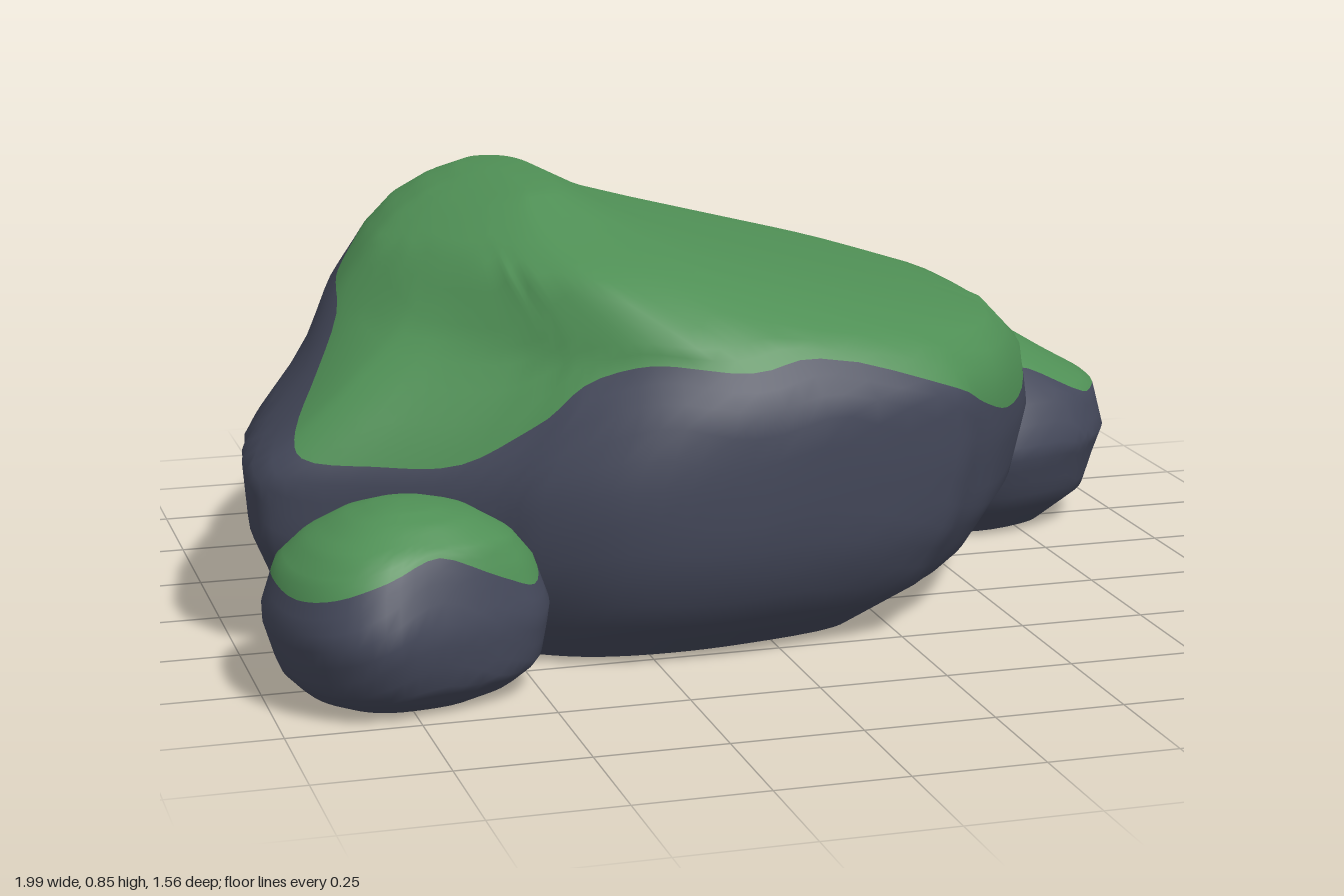
import * as THREE from 'three';

const stone = new THREE.MeshStandardMaterial({ color: 0x434759 });
stone.name = 'slate stone';
const moss = new THREE.MeshStandardMaterial({ color: 0x4f8f55 });
moss.name = 'green moss';

// outline: [x, z, moss edge height] around the rock seen from above
// levels: [y, xMin, xMax, zMin, zMax, roundness] from base up; apex: [x, y, z]
// bulge: fullness of the rounded form on the +x side, the -x back and the -x front
function boulder(name, outline, levels, apex, cols, bulge = [2.5, 2.5, 2.5]) {
  const rim = new THREE.CatmullRomCurve3(
    outline.map(([x, z, m]) => new THREE.Vector3(x, m, z)), true, 'centripetal',
  ).getPoints(cols).slice(0, cols);
  const box = new THREE.Box3().setFromPoints(rim);
  const mid = box.getCenter(new THREE.Vector3());
  const half = box.getSize(new THREE.Vector3()).multiplyScalar(0.5);
  const last = levels.length - 1;

  // point on the rock in column p, at fractional level t
  const surface = (p, t) => {
    const i = Math.min(Math.floor(t), last - 1);
    const [y, x0, x1, z0, z1, round] = levels[i].map((v, n) => THREE.MathUtils.lerp(v, levels[i + 1][n], t - i));
    const u = (p.x - mid.x) / half.x;
    const v = (p.z - mid.z) / half.z;
    // blend the lumpy outline towards an even superellipse
    const e = bulge[u > 0 ? 0 : v < 0 ? 1 : 2];
    const s = THREE.MathUtils.lerp(1, Math.pow(Math.abs(u) ** e + Math.abs(v) ** e, -1 / e), round);
    return [(x0 + x1) / 2 + u * s * (x1 - x0) / 2, y, (z0 + z1) / 2 + v * s * (z1 - z0) / 2];
  };
  // fractional level at a height
  const levelAt = (y) => {
    let i = 0;
    while (i < last - 1 && levels[i + 1][0] < y) i++;
    return i + (y - levels[i][0]) / (levels[i + 1][0] - levels[i][0]);
  };

  const low = 12, high = 12, rows = low + high;
  const pos = [];
  for (let r = 0; r <= rows; r++) {
    for (const p of rim) {
      const edge = levelAt(p.y);
      const t = r <= low ? edge * r / low : edge + (last - edge) * (r - low) / high;
      pos.push(...surface(p, t));
    }
  }
  const top = pos.length / 3;
  pos.push(...apex);
  // flat underside with its own crisp rim
  const baseRing = top + 1;
  for (const p of rim) pos.push(...surface(p, 0));
  const baseMid = baseRing + cols;
  const b = levels[0];
  pos.push((b[1] + b[2]) / 2, 0, (b[3] + b[4]) / 2);

  const stoneFaces = [], mossFaces = [];
  for (let j = 0; j < cols; j++) {
    const n = (j + 1) % cols;
    stoneFaces.push(baseMid, baseRing + j, baseRing + n);
    for (let r = 0; r < rows; r++) {
      const a = r * cols, c = a + cols;
      (r < low ? stoneFaces : mossFaces).push(a + j, c + j, a + n, a + n, c + j, c + n);
    }
    mossFaces.push(rows * cols + j, top, rows * cols + n);
  }
  const geo = new THREE.BufferGeometry();
  geo.setAttribute('position', new THREE.Float32BufferAttribute(pos, 3));
  geo.setIndex([...stoneFaces, ...mossFaces]);
  geo.addGroup(0, stoneFaces.length, 0);
  geo.addGroup(stoneFaces.length, mossFaces.length, 1);
  geo.computeVertexNormals();
  const mesh = new THREE.Mesh(geo, [stone, moss]);
  mesh.name = name;
  return mesh;
}

export function createModel() {
  const group = new THREE.Group();
  group.name = 'mossyBoulders';

  group.add(boulder('mainBoulder', [
    [-0.2, -0.785, 0.55], [0.05, -0.755, 0.56], [0.3, -0.64, 0.56], [0.5, -0.46, 0.56],
    [0.63, -0.25, 0.53], [0.67, -0.05, 0.51], [0.65, 0.08, 0.49], [0.62, 0.17, 0.42],
    [0.5, 0.37, 0.41], [0.41, 0.47, 0.45], [0.33, 0.55, 0.5], [0.07, 0.62, 0.58],
    [-0.12, 0.64, 0.565], [-0.33, 0.62, 0.58], [-0.48, 0.54, 0.54], [-0.55, 0.48, 0.46],
    [-0.63, 0.43, 0.39], [-0.78, 0.36, 0.38], [-0.92, 0.3, 0.39], [-0.97, 0.25, 0.43],
    [-0.97, 0.1, 0.51], [-0.94, -0.04, 0.62], [-0.9, -0.18, 0.65], [-0.85, -0.31, 0.71],
    [-0.8, -0.42, 0.72], [-0.7, -0.54, 0.71], [-0.65, -0.61, 0.58], [-0.6, -0.67, 0.56],
    [-0.47, -0.76, 0.55], [-0.33, -0.783, 0.55],
  ], [
    [0, -0.86, 0.4, -0.61, 0.47, 0.15],
    [0.1, -0.92, 0.55, -0.68, 0.59, 0.1],
    [0.22, -0.96, 0.64, -0.75, 0.635, 0],
    [0.36, -0.97, 0.68, -0.785, 0.64, 0],
    [0.49, -0.85, 0.65, -0.76, 0.63, 0.25],
    [0.57, -0.79, 0.57, -0.72, 0.58, 0.6],
    [0.62, -0.75, 0.4, -0.69, 0.55, 0.9],
    [0.72, -0.67, 0.01, -0.58, 0.42, 1],
    [0.77, -0.61, -0.17, -0.5, 0.25, 1],
    [0.81, -0.54, -0.25, -0.42, 0.13, 1],
    [0.835, -0.46, -0.3, -0.36, 0.05, 1],
  ], [-0.39, 0.845, -0.15], 120, [2.7, 2, 1.4]));

  group.add(boulder('smallFrontBoulder', [
    [-0.85, 0.31, 0.24], [-0.72, 0.33, 0.25], [-0.57, 0.42, 0.24], [-0.47, 0.55, 0.23],
    [-0.5, 0.64, 0.21], [-0.57, 0.69, 0.24], [-0.7, 0.75, 0.295], [-0.82, 0.78, 0.265],
    [-0.91, 0.74, 0.235], [-0.97, 0.65, 0.22], [-1, 0.53, 0.23], [-0.98, 0.42, 0.23],
    [-0.93, 0.35, 0.24],
  ], [
    [0, -0.88, -0.6, 0.42, 0.67, 0.7],
    [0.02, -0.93, -0.54, 0.38, 0.71, 0.5],
    [0.06, -0.97, -0.49, 0.35, 0.755, 0.3],
    [0.16, -1, -0.47, 0.31, 0.785, 0],
    [0.25, -0.97, -0.5, 0.33, 0.745, 0.2],
    [0.3, -0.92, -0.54, 0.37, 0.715, 0.4],
    [0.34, -0.85, -0.61, 0.43, 0.65, 0.8],
    [0.358, -0.79, -0.68, 0.48, 0.6, 1],
  ], [-0.74, 0.365, 0.54], 52));

  group.add(boulder('rearSideBoulder', [
    [0.66, -0.75, 0.25], [0.78, -0.73, 0.24], [0.92, -0.63, 0.28], [0.98, -0.53, 0.3],
    [1, -0.4, 0.3], [0.97, -0.25, 0.29], [0.91, -0.16, 0.29], [0.85, -0.11, 0.35],
    [0.66, -0.05, 0.36], [0.5, -0.1, 0.38], [0.36, -0.25, 0.35], [0.3, -0.45, 0.32],
    [0.36, -0.6, 0.32], [0.43, -0.68, 0.31], [0.54, -0.74, 0.27],
  ], [
    [0, 0.42, 0.88, -0.65, -0.16, 0.3],
    [0.07, 0.36, 0.96, -0.7, -0.08, 0.2],
    [0.14, 0.32, 0.985, -0.75, -0.05, 0],
    [0.2, 0.3, 1, -0.73, -0.03, 0],
    [0.29, 0.33, 0.98, -0.68, -0.08, 0.1],
    [0.34, 0.36, 0.89, -0.64, -0.12, 0.4],
    [0.4, 0.41, 0.79, -0.585, -0.17, 0.7],
    [0.45, 0.47, 0.7, -0.47, -0.24, 1],
    [0.47, 0.52, 0.65, -0.39, -0.29, 1],
  ], [0.59, 0.478, -0.33], 60));

  return group;
}
